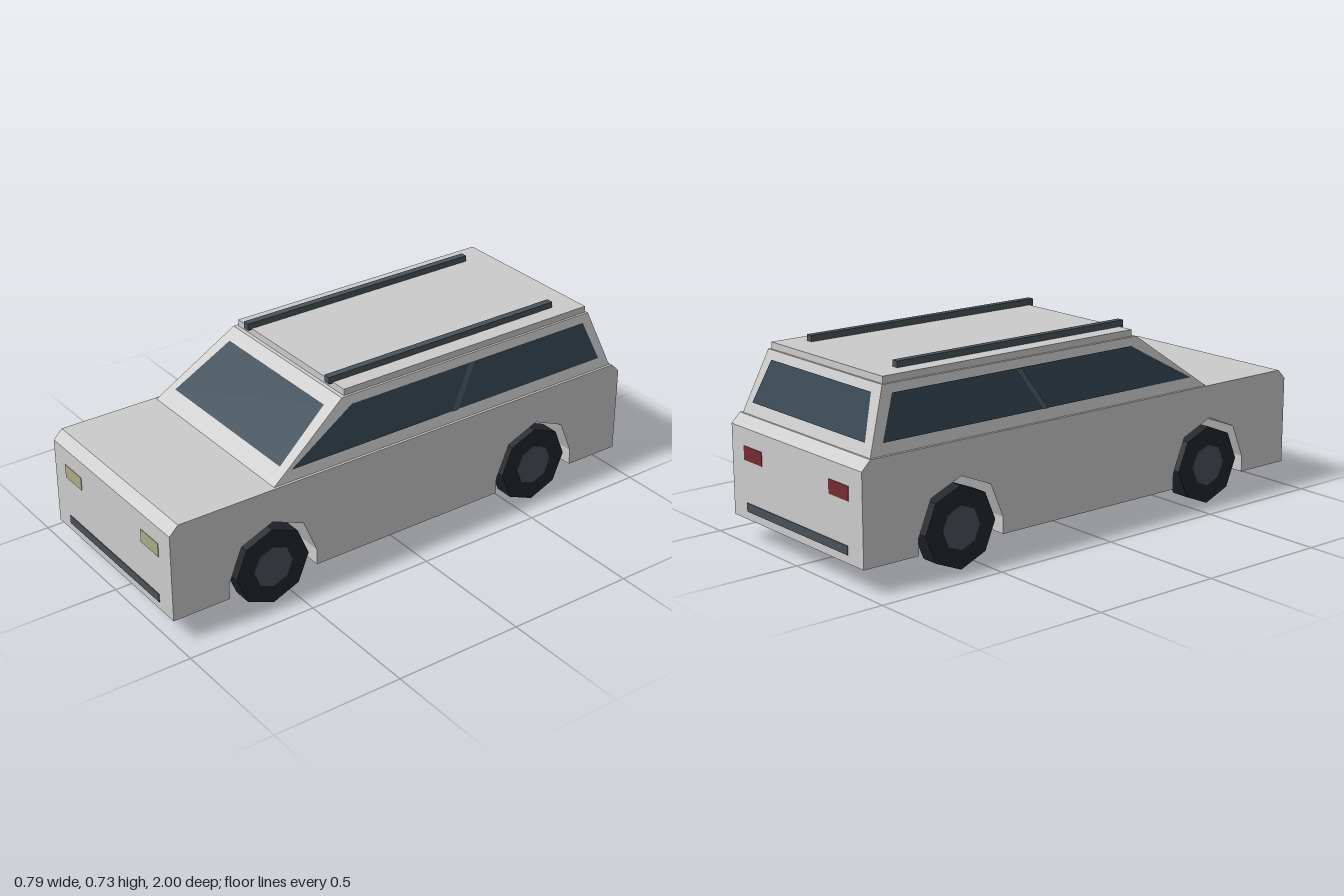
import * as THREE from 'three';

const mat = (color) => new THREE.MeshStandardMaterial({ color, flatShading: true });
const paint = mat(0xcccccc), rubber = mat(0x22262a), hubMetal = mat(0x4a4f58);
const trim = mat(0x4a5258), lampFront = mat(0xaaaa88), lampRear = mat(0x772b30);
const glass = mat(0x344552), pillar = mat(0x4c585f);
glass.side = pillar.side = THREE.DoubleSide;

// Cabin: sizes at the base and at the top
const BASE = { y: 0.46, x: 0.385, front: 0.575, back: -0.955 };
const TOP = { y: 0.685, x: 0.34, front: 0.26, back: -0.87 };
const cabinAt = (key, y) => THREE.MathUtils.mapLinear(y, BASE.y, TOP.y, BASE[key], TOP[key]);

export function createModel() {
  const model = new THREE.Group();
  const add = (name, geometry, material) => {
    const mesh = new THREE.Mesh(geometry, material);
    mesh.name = name;
    model.add(mesh);
    return mesh;
  };
  // Box given by its extents
  const box = (name, [x0, x1], [y0, y1], [z0, z1], material) =>
    add(name, new THREE.BoxGeometry(x1 - x0, y1 - y0, z1 - z0), material)
      .position.set((x0 + x1) / 2, (y0 + y1) / 2, (z0 + z1) / 2);
  // Flat four-cornered panel, corners anticlockwise from outside
  const panel = (name, corners, material) => {
    const g = new THREE.BufferGeometry();
    g.setAttribute('position', new THREE.Float32BufferAttribute(corners.flat(), 3));
    g.setIndex([0, 1, 2, 0, 2, 3]);
    g.computeVertexNormals();
    add(name, g, material);
  };

  // Lower body: side profile with chamfered ends and octagonal wheel arches
  const axleZ = 0.59, axleY = 0.152, archR = 0.182, L = 0.997;
  const profile = [[-L, 0.09]];
  for (const z of [-axleZ, axleZ]) {
    profile.push([z - archR, 0.09]);
    for (let i = 4; i >= 0; i--) {
      const a = (i * Math.PI) / 4;
      profile.push([z + archR * Math.cos(a), axleY + archR * Math.sin(a)]);
    }
    profile.push([z + archR, 0.09]);
  }
  profile.push([L, 0.09], [L, 0.425], [0.962, 0.46], [-0.962, 0.46], [-L, 0.425]);
  const shape = new THREE.Shape(profile.map(([z, y]) => new THREE.Vector2(z, y)));
  const body = new THREE.ExtrudeGeometry(shape, { depth: 0.79, bevelEnabled: false });
  body.translate(0, 0, -0.395).rotateY(-Math.PI / 2);
  add('lowerBody', body, paint);

  // Cabin: a box tapered to the sloping pillars
  const cabin = new THREE.BoxGeometry(2, 2, 2);
  const p = cabin.attributes.position;
  for (let i = 0; i < p.count; i++) {
    const s = p.getY(i) > 0 ? TOP : BASE;
    p.setXYZ(i, Math.sign(p.getX(i)) * s.x, s.y, p.getZ(i) > 0 ? s.front : s.back);
  }
  cabin.computeVertexNormals();
  add('cabin', cabin, paint);
  box('roofPanel', [-0.331, 0.331], [0.685, 0.71], [-0.862, 0.245], paint);

  // Windscreen and rear window
  const lo = 0.502, hi = 0.655, gap = 0.004;
  for (const [name, key, s] of [['windscreen', 'front', 1], ['rearWindow', 'back', -1]]) {
    const zl = cabinAt(key, lo) + s * gap, zh = cabinAt(key, hi) + s * gap;
    panel(name, [[-s * 0.34, lo, zl], [s * 0.34, lo, zl], [s * 0.298, hi, zh], [-s * 0.298, hi, zh]], glass);
  }

  for (const [side, s] of [['left', 1], ['right', -1]]) {
    // Side glass with its slanted pillar
    const sidePanel = (name, zs, out, material) => {
      const ys = [lo, lo, hi, hi];
      const pts = zs.map((z, i) => [s * (cabinAt('x', ys[i]) + out), ys[i], z]);
      panel(name, s > 0 ? pts : pts.reverse(), material);
    };
    sidePanel(side + 'SideWindow', [0.5, -0.9, -0.838, 0.225], gap, glass);
    sidePanel(side + 'WindowPillar', [-0.195, -0.222, -0.318, -0.291], gap * 2, pillar);

    // Roof rail
    const span = (a, b) => (s > 0 ? [a, b] : [-b, -a]);
    box(side + 'RoofRail', span(0.24, 0.267), [0.706, 0.733], [-0.755, 0.262], trim);

    // Lamps
    box(side + 'Headlight', span(0.204, 0.318), [0.308, 0.36], [0.98, 0.999], lampFront);
    box(side + 'TailLight', span(0.204, 0.318), [0.308, 0.36], [-0.999, -0.98], lampRear);

    // Eight-sided wheels
    for (const [end, z] of [['Front', axleZ], ['Rear', -axleZ]]) {
      const tyre = new THREE.CylinderGeometry(0.15, 0.15, 0.072, 8).rotateZ(Math.PI / 2);
      add(side + end + 'Tyre', tyre, rubber).position.set(s * 0.355, 0.15, z);
      const hub = new THREE.CylinderGeometry(0.08, 0.08, 0.074, 8).rotateZ(Math.PI / 2);
      add(side + end + 'Hub', hub, hubMetal).position.set(s * 0.357, 0.15, z);
    }
  }

  // Bumper strips
  box('frontBumper', [-0.308, 0.308], [0.12, 0.152], [0.98, 1], trim);
  box('rearBumper', [-0.308, 0.308], [0.12, 0.152], [-1, -0.98], trim);
  return model;
}
